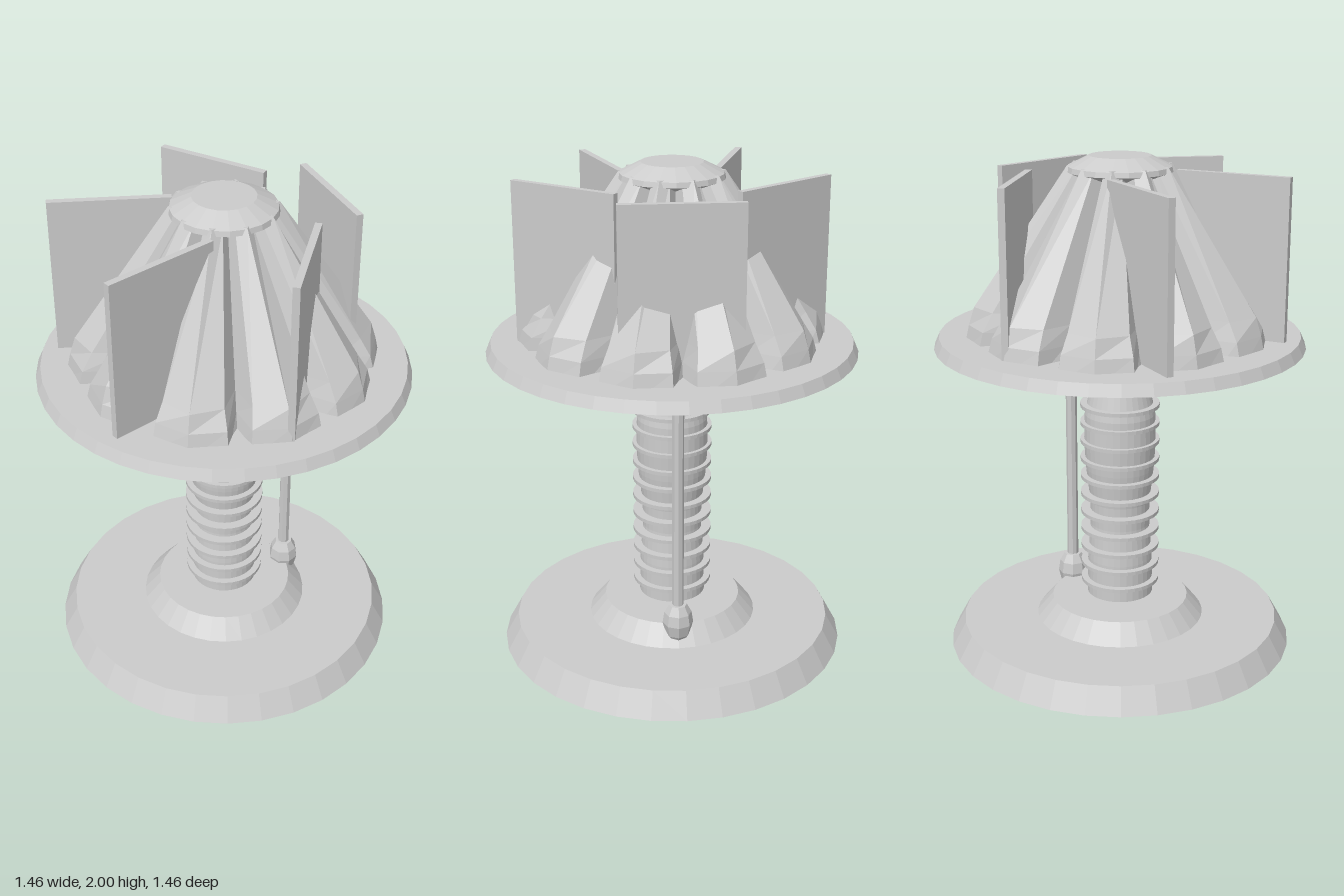
import * as THREE from 'three';

const material = new THREE.MeshStandardMaterial({ color: 0xcccccc, flatShading: true });

function createMesh(name, geometry, parent) {
  const mesh = new THREE.Mesh(geometry, material);
  mesh.name = name;
  parent.add(mesh);
  return mesh;
}

// Closed solid of revolution from [radius, y] points, bottom to top
function turned(profile, segments = 32) {
  const first = profile[0], last = profile[profile.length - 1];
  const points = [[0, first[1]], ...profile, [0, last[1]]].map(([r, y]) => new THREE.Vector2(r, y));
  return new THREE.LatheGeometry(points, segments);
}

// Pleated cone: every level is a loop of valley, corner, ridge, corner per lobe
function pleatedCone(lobes) {
  const levels = [
    { y: 1.257, ridge: 0.615, corner: 0.59, valley: 0.51, spread: 14 },
    { y: 1.36, ridge: 0.592, corner: 0.563, valley: 0.44, spread: 13.5 },
    { y: 1.43, ridge: 0.57, corner: 0.52, valley: 0.4, spread: 12.5 },
    { y: 1.965, ridge: 0.203, corner: 0.17, valley: 0.12, spread: 11 },
  ];
  const positions = [], indices = [];
  const step = 360 / lobes, count = lobes * 4;
  for (const level of levels) {
    for (let i = 0; i < lobes; i++) {
      const middle = (i + 0.5) * step;
      const section = [
        [middle - step / 2, level.valley],
        [middle - level.spread, level.corner],
        [middle, level.ridge],
        [middle + level.spread, level.corner],
      ];
      for (const [degrees, r] of section) {
        const a = THREE.MathUtils.degToRad(degrees);
        positions.push(r * Math.cos(a), level.y, r * Math.sin(a));
      }
    }
  }
  const bottom = positions.length / 3, top = bottom + 1;
  const lastRow = (levels.length - 1) * count;
  positions.push(0, levels[0].y, 0, 0, levels[levels.length - 1].y, 0);
  for (let i = 0; i < count; i++) {
    const n = (i + 1) % count;
    for (let row = 0; row < lastRow; row += count) {
      const p = row + i, q = row + n;
      indices.push(p, p + count, q, q, p + count, q + count);
    }
    indices.push(bottom, i, n, top, lastRow + n, lastRow + i);
  }
  const geometry = new THREE.BufferGeometry();
  geometry.setAttribute('position', new THREE.Float32BufferAttribute(positions, 3));
  geometry.setIndex(indices);
  geometry.computeVertexNormals();
  return geometry;
}

export function createModel() {
  const model = new THREE.Group();
  model.name = 'lamp';

  // Two-step foot
  createMesh('base', turned([[0.705, 0], [0.65, 0.1]]), model);
  createMesh('baseStep', turned([[0.345, 0.1], [0.28, 0.178]]), model);

  // Waisted post with evenly spaced rings
  createMesh('post', turned([
    [0.135, 0.195], [0.132, 0.35], [0.121, 0.5], [0.122, 0.6], [0.138, 0.74],
    [0.145, 0.85], [0.142, 0.97], [0.135, 1.01], [0.112, 1.1], [0.105, 1.225],
    [0.087, 1.226], [0.085, 1.27],
  ]), model);
  const rings = new THREE.Group();
  rings.name = 'postRings';
  model.add(rings);
  for (let i = 0; i < 11; i++) {
    const ring = createMesh('postRing', new THREE.CylinderGeometry(0.16, 0.16, 0.015, 32), rings);
    ring.position.y = 0.255 + i * 0.0755;
  }

  // Pull cord with its weight
  const cord = createMesh('pullCord', new THREE.CylinderGeometry(0.023, 0.023, 1.04, 8), model);
  cord.position.set(0.285, 0.77, 0);
  const weight = createMesh('cordWeight', turned([
    [0.03, 0.11], [0.05, 0.14], [0.062, 0.19], [0.055, 0.235], [0.036, 0.27],
  ], 8), model);
  weight.position.x = 0.285;

  // Shade: rim disc, pleated cone and cap
  createMesh('shadeRim', turned([[0.73, 1.266], [0.71, 1.31]], 40), model);
  createMesh('pleatedShade', pleatedCone(10), model);
  createMesh('shadeCap', turned([[0.12, 1.905], [0.205, 1.94], [0.2, 1.96], [0.12, 2]], 20), model);

  // Five upright plates, each turned by half of its angle around the shade
  const plates = new THREE.Group();
  plates.name = 'shadePlates';
  model.add(plates);
  for (let k = -2; k <= 2; k++) {
    const angle = k * Math.PI * 0.4;
    const plate = createMesh('shadePlate', new THREE.BoxGeometry(0.027, 0.64, 0.46), plates);
    plate.position.set(0.432 * Math.cos(angle), 1.62, 0.432 * Math.sin(angle));
    plate.rotation.y = -angle / 2;
  }
  return model;
}
